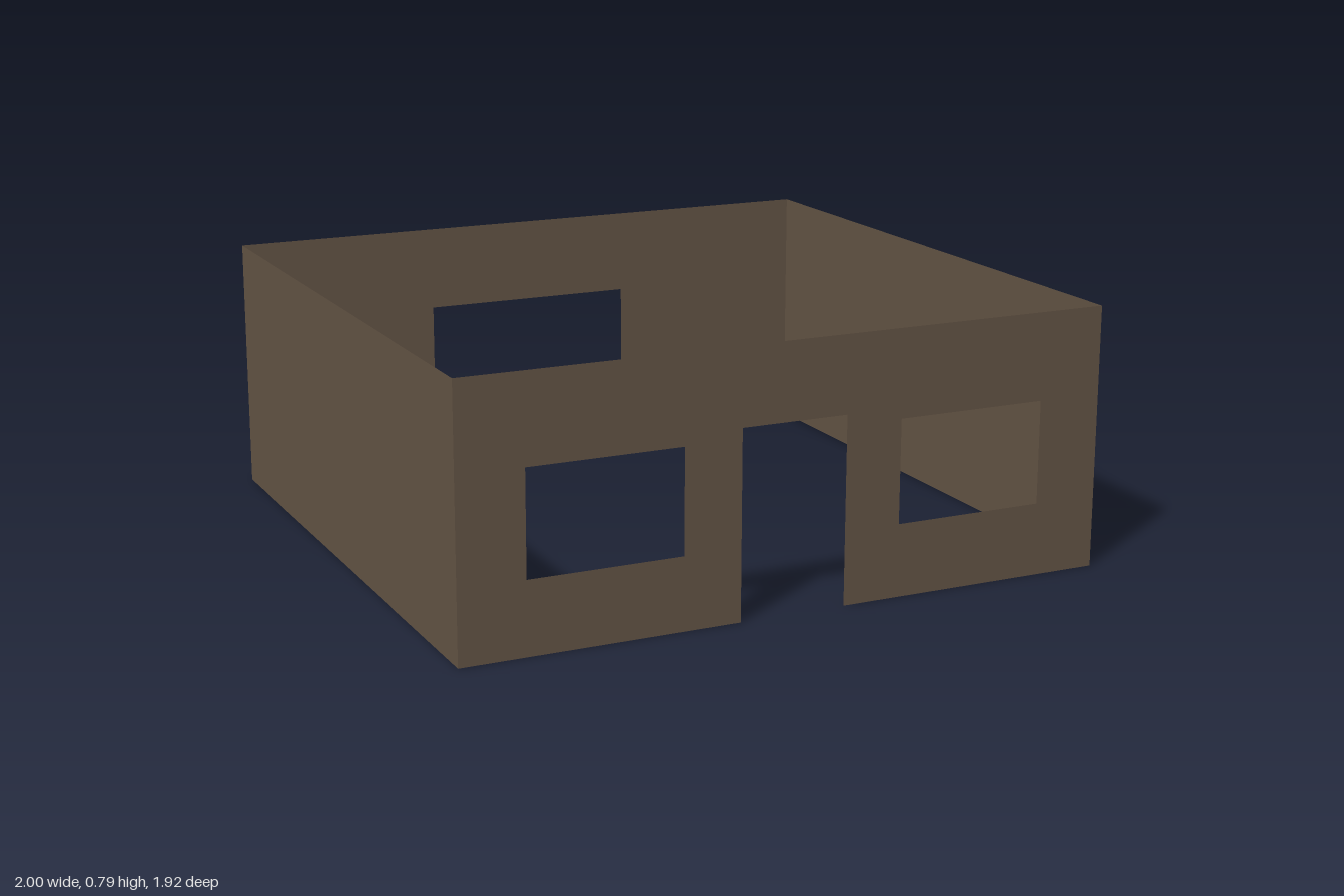
import * as THREE from 'three';

const W = 1, D = 0.96, H = 0.79; // half width, half depth, wall height

const rect = (Type, x0, y0, x1, y1) => new Type([
  new THREE.Vector2(x0, y0), new THREE.Vector2(x1, y0),
  new THREE.Vector2(x1, y1), new THREE.Vector2(x0, y1),
]);

export function createModel() {
  const group = new THREE.Group();
  const brown = new THREE.MeshStandardMaterial({ color: 0x635445, side: THREE.DoubleSide });
  brown.name = 'brown wall';

  // Each wall is a paper-thin sheet turned to face outwards
  const addWall = (name, shape, x, z, turn) => {
    const wall = new THREE.Mesh(new THREE.ShapeGeometry(shape), brown);
    wall.name = name;
    wall.position.set(x, 0, z);
    wall.rotation.y = turn;
    group.add(wall);
  };

  // Front wall: doorway notched from the floor and a window on each side
  const door = 0.163, doorTop = 0.56;
  const front = new THREE.Shape([
    [-W, 0], [-door, 0], [-door, doorTop], [door, doorTop],
    [door, 0], [W, 0], [W, H], [-W, H],
  ].map(([x, y]) => new THREE.Vector2(x, y)));
  front.holes.push(
    rect(THREE.Path, -0.802, 0.218, -0.338, 0.528),
    rect(THREE.Path, 0.338, 0.218, 0.802, 0.528),
  );
  addWall('frontWall', front, 0, D, 0);

  // Back wall: one wide central window
  const back = rect(THREE.Shape, -W, 0, W, H);
  back.holes.push(rect(THREE.Path, -0.347, 0.222, 0.347, 0.522));
  addWall('backWall', back, 0, -D, Math.PI);

  // Plain side walls
  for (const [name, s] of [['leftWall', 1], ['rightWall', -1]]) {
    addWall(name, rect(THREE.Shape, -D, 0, D, H), s * W, 0, s * Math.PI / 2);
  }
  return group;
}
